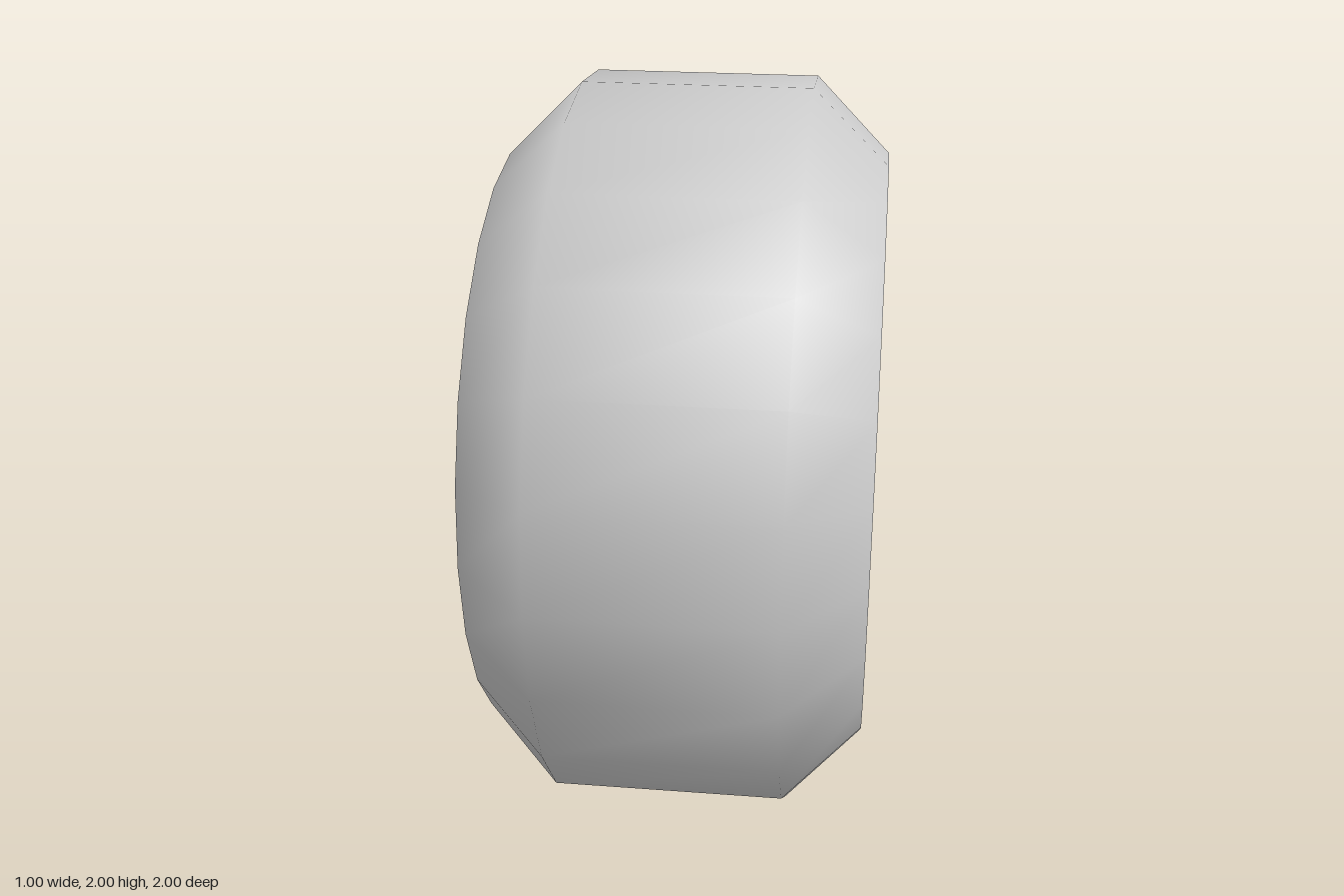
import * as THREE from 'three';

const RIM_SIDES = 24, SOCKET_SIDES = 8;
const FACE_X = 0.5, FACE_R = 0.8;
const SOCKET_R = 0.48, FLOOR_R = 0.3, SOCKET_DEPTH = 0.2;

// Corners of a regular polygon
function polygon(radius, sides) {
  return Array.from({ length: sides }, (_, i) => {
    const a = (i / sides) * Math.PI * 2;
    return new THREE.Vector2(Math.cos(a) * radius, Math.sin(a) * radius);
  });
}

// Lathe whose axis points along -x; profile pairs are [radius, height]
function latheAlongX(profile, sides) {
  const points = profile.map(([r, h]) => new THREE.Vector2(r, h));
  return new THREE.LatheGeometry(points, sides).rotateZ(Math.PI / 2);
}

// Flat polygon facing +x (side 1) or -x (side -1)
function flatFace(shape, side, x) {
  return new THREE.ShapeGeometry(shape).rotateY(side * Math.PI / 2).translate(x, 0, 0);
}

export function createModel() {
  const model = new THREE.Group();
  model.name = 'wheel';
  const material = new THREE.MeshStandardMaterial({ color: 0xcccccc });

  function add(name, geometry) {
    const mesh = new THREE.Mesh(geometry, material);
    mesh.name = name;
    mesh.position.y = 1;
    model.add(mesh);
  }

  // Smooth tread with bevelled shoulders
  add('tread', latheAlongX(
    [[FACE_R, -FACE_X], [1, -0.3], [1, 0.3], [FACE_R, FACE_X]], RIM_SIDES));

  // Plain disc on the left
  add('plainFace', flatFace(new THREE.Shape(polygon(FACE_R, RIM_SIDES)), 1, FACE_X));

  // Face on the right, cut out around the hub socket
  const ring = new THREE.Shape(polygon(FACE_R, RIM_SIDES));
  ring.holes.push(new THREE.Path(polygon(SOCKET_R, SOCKET_SIDES)));
  add('socketFace', flatFace(ring, -1, -FACE_X));

  // Tapered eight-sided socket
  add('socketWall', latheAlongX(
    [[SOCKET_R, FACE_X], [FLOOR_R, FACE_X - SOCKET_DEPTH]], SOCKET_SIDES));
  add('socketFloor', flatFace(
    new THREE.Shape(polygon(FLOOR_R, SOCKET_SIDES)), -1, SOCKET_DEPTH - FACE_X));

  return model;
}
